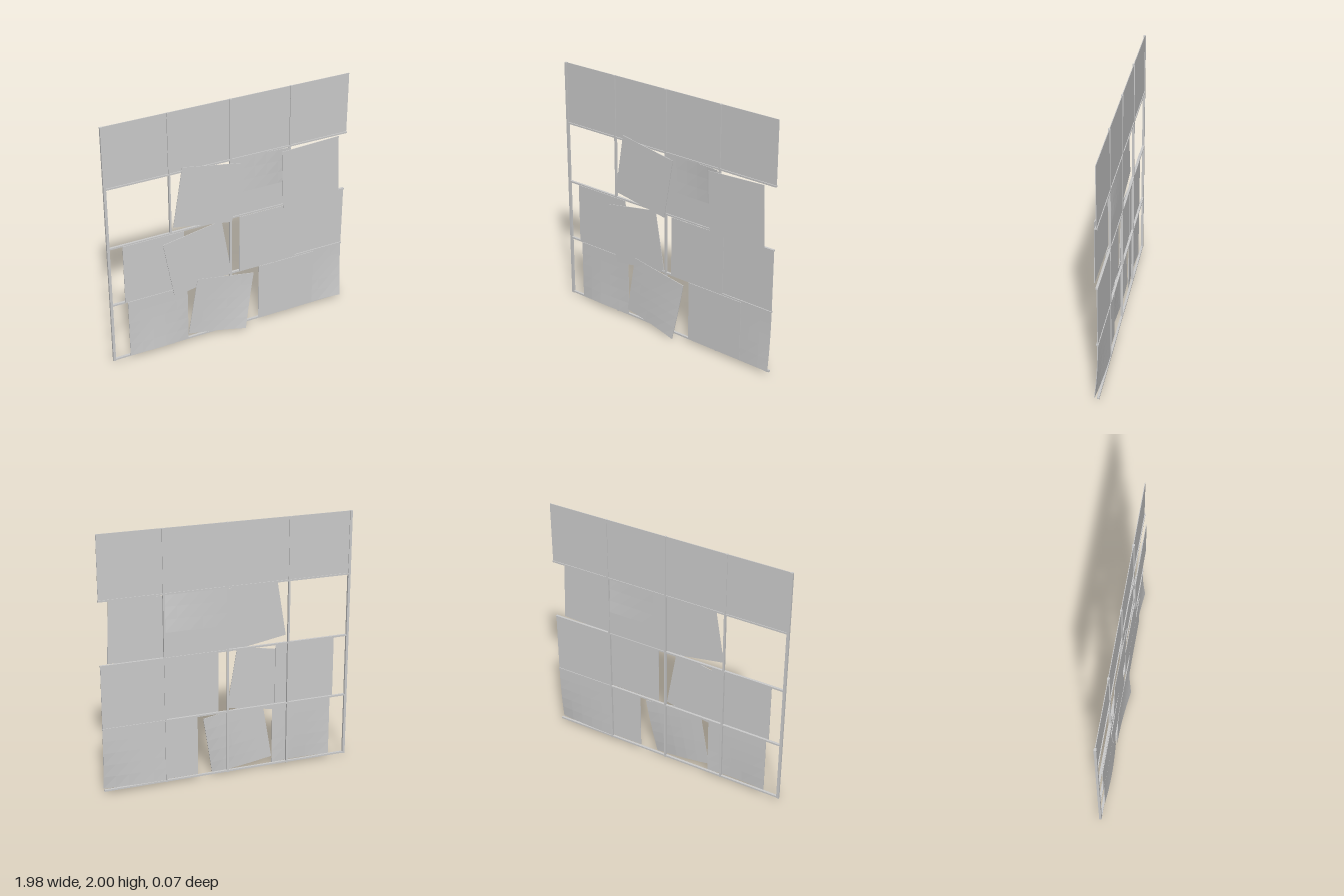
import * as THREE from 'three';

const material = new THREE.MeshStandardMaterial({ color: 0xcccccc, flatShading: true });
const SIZE = 0.487;   // side of every square panel
const THICK = 0.005;

function addBox(group, name, w, h, d, x, y, z) {
  const mesh = new THREE.Mesh(new THREE.BoxGeometry(w, h, d), material);
  mesh.position.set(x, y, z);
  mesh.name = name;
  group.add(mesh);
}

// Square panel; bend(u, v) gives the forward warp, u from left and v from bottom, 0..1
function addPanel(group, name, x, y, z, degrees = 0, bend = null) {
  const n = bend ? 5 : 1;
  const geometry = new THREE.BoxGeometry(SIZE, SIZE, THICK, n, n, 1);
  if (bend) {
    const p = geometry.attributes.position;
    for (let i = 0; i < p.count; i++) {
      const u = p.getX(i) / SIZE + 0.5;
      const v = p.getY(i) / SIZE + 0.5;
      p.setZ(i, p.getZ(i) + bend(u, v));
    }
    geometry.computeVertexNormals();
  }
  const mesh = new THREE.Mesh(geometry, material);
  mesh.position.set(x, y, z);
  mesh.rotation.z = THREE.MathUtils.degToRad(degrees);
  mesh.name = name;
  group.add(mesh);
}

export function createModel() {
  const group = new THREE.Group();
  group.name = 'brokenPanelWall';

  // Supporting grid of posts and rails
  const frame = new THREE.Group();
  frame.name = 'frame';
  group.add(frame);
  addBox(frame, 'endPost', 0.02, 1.98, 0.018, -0.985, 1.01, -0.025);
  for (const x of [-0.491, 0.002, 0.496]) {
    addBox(frame, 'post', 0.014, 1.98, 0.018, x, 1.01, -0.025);
  }
  for (const y of [0.031, 0.525, 1.019, 1.512]) {
    addBox(frame, 'rail', 1.98, 0.013, 0.018, -0.003, y, -0.025);
  }

  // Intact panels seated in the grid
  const BACK = -0.026, MID = -0.013, FRONT = -0.005;
  const columns = [-0.738, -0.245, 0.249, 0.742];
  for (const x of columns) addPanel(group, 'topPanel', x, 1.757, BACK);
  addPanel(group, 'seatedPanel', columns[3], 0.772, BACK);

  // Panels slid sideways
  addPanel(group, 'slidPanel', -0.634, 0.772, MID);
  addPanel(group, 'slidPanel', 0.313, 0.772, MID + 0.005);
  addPanel(group, 'slidPanel', 0.482, 0.279, MID + 0.005);

  // Panels hanging askew
  addPanel(group, 'tiltedPanel', -0.197, 1.275, FRONT + 0.002, -9.6);
  addPanel(group, 'tiltedPanel', 0.67, 1.255, FRONT + 0.008, 2.5);
  addPanel(group, 'tiltedPanel', -0.282, 0.745, FRONT, 9.7);

  // Warped panels
  addPanel(group, 'warpedPanel', columns[2], 1.265, BACK, 0,
    (u, v) => 0.024 * Math.max(0, v - 0.4) / 0.6 * u * u);
  addPanel(group, 'warpedPanel', columns[3], 0.279, BACK, 0,
    (u, v) => 0.028 * u * u * (1 - v) ** 2);
  addPanel(group, 'warpedPanel', -0.613, 0.279, MID, 0,
    (u, v) => 0.012 * Math.sin(Math.PI * u) * (1 - v) ** 2);
  addPanel(group, 'warpedTiltedPanel', -0.09, 0.283, -0.002, -9.7,
    (u, v) => 0.033 * u * u * (1 - v) ** 1.5);

  return group;
}
